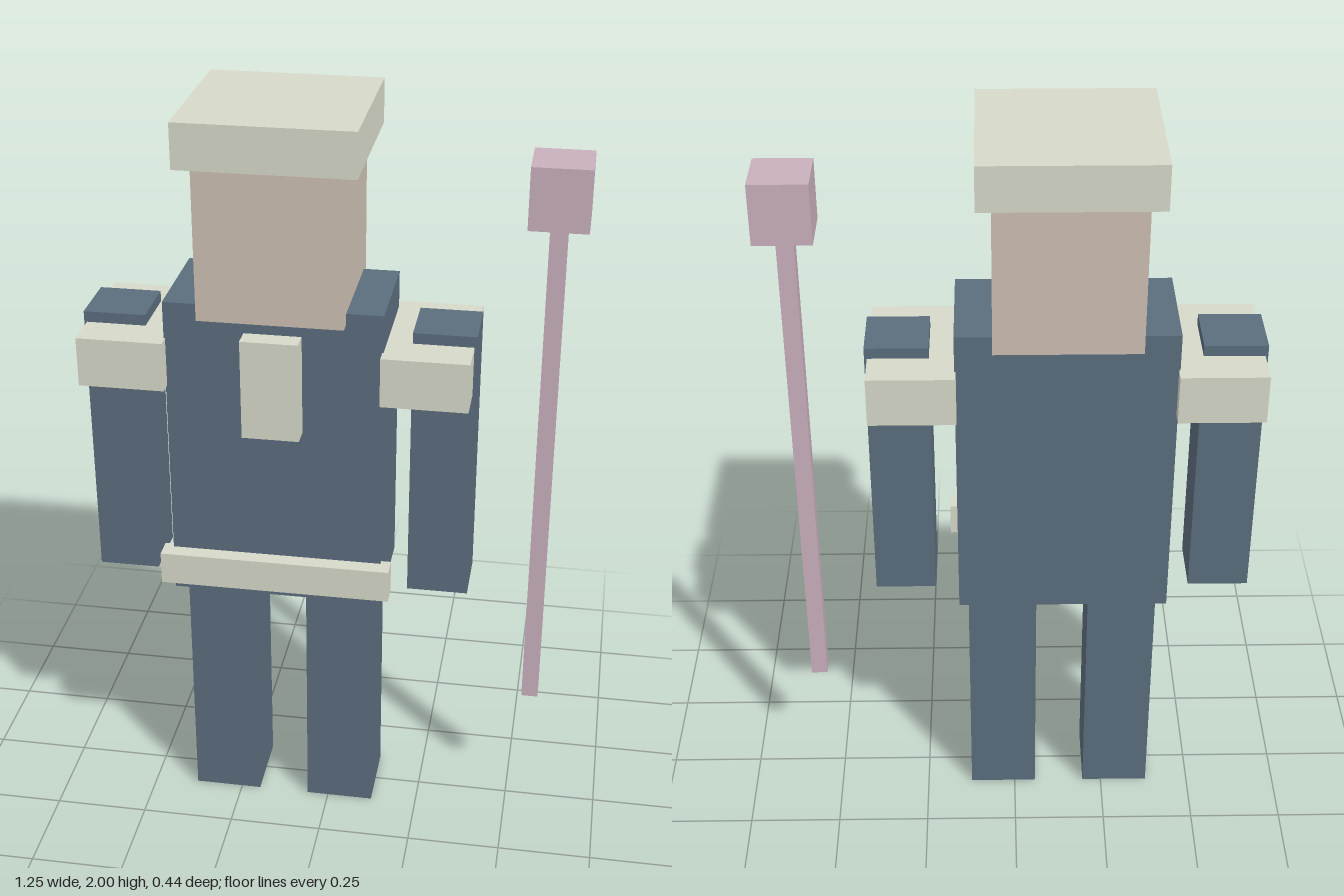
import * as THREE from 'three';

const material = (color) => new THREE.MeshStandardMaterial({ color, flatShading: true });

export function createModel() {
  const model = new THREE.Group();
  model.name = 'blockFigure';

  const cloth = material(0x5b6d7d);
  const trim = material(0xd6d8c8);
  const skin = material(0xcdbfb3);
  const wand = material(0xc8afbd);

  // Box given by its centre and size
  function block(name, mat, [x, y, z], [w, h, d]) {
    const mesh = new THREE.Mesh(new THREE.BoxGeometry(w, h, d), mat);
    mesh.name = name;
    mesh.position.set(x, y, z);
    model.add(mesh);
    return mesh;
  }

  // The figure stands off-centre to leave room for the staff
  const cx = -0.128;

  // Torso, head and hat
  block('torso', cloth, [cx, 1.107, 0], [0.553, 0.825, 0.294]);
  block('head', skin, [cx, 1.688, 0], [0.367, 0.394, 0.367]);
  block('hat', trim, [cx, 1.943, 0], [0.441, 0.114, 0.441]);

  // Chest plate and belt on the front
  block('chestPlate', trim, [cx, 1.318, 0.171], [0.146, 0.264, 0.056]);
  block('belt', trim, [cx, 0.774, 0.161], [0.605, 0.088, 0.056]);

  // Mirrored limbs and shoulder pads
  for (const [side, s] of [['left', 1], ['right', -1]]) {
    block(side + 'Leg', cloth, [cx + s * 0.161, 0.348, 0], [0.183, 0.696, 0.194]);
    block(side + 'Arm', cloth, [cx + s * 0.42, 1.079, 0], [0.16, 0.743, 0.16]);
    block(side + 'ShoulderPad', trim, [cx + s * 0.383, 1.357, 0], [0.22, 0.13, 0.367]);
  }

  // Staff with a cube head
  block('staffShaft', wand, [0.552, 1.045, 0], [0.044, 1.38, 0.044]);
  block('staffHead', wand, [0.552, 1.81, 0], [0.147, 0.158, 0.147]);

  return model;
}
